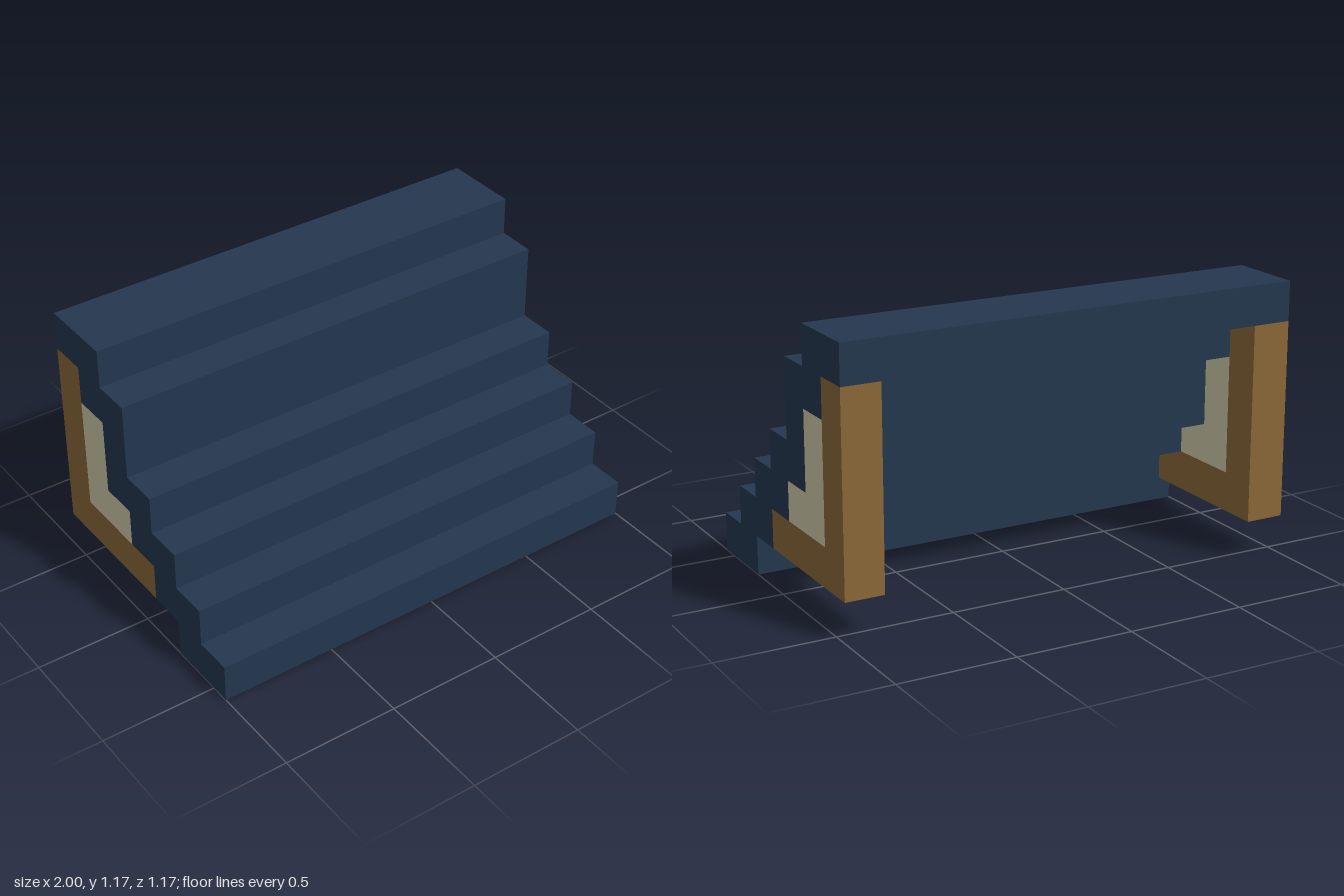
import * as THREE from 'three';

const U = 1 / 6; // grid unit: the roof is 12 wide, 7 high, 7 deep

// Extrude a side outline of [distance from front, height] points between two x positions
function slab(name, outline, x0, x1, material) {
  const shape = new THREE.Shape(outline.map(([d, y]) => new THREE.Vector2((d - 3.5) * U, y * U)));
  const geometry = new THREE.ExtrudeGeometry(shape, { depth: (x1 - x0) * U, bevelEnabled: false });
  geometry.rotateY(Math.PI / 2); // outline runs from front (+z) to back (-z)
  geometry.translate(x0 * U, 0, 0);
  const mesh = new THREE.Mesh(geometry, material);
  mesh.name = name;
  return mesh;
}

export function createModel() {
  const roofBlue = new THREE.MeshStandardMaterial({ color: 0x24374f });
  const timberBrown = new THREE.MeshStandardMaterial({ color: 0x8a6838 });
  const plasterCream = new THREE.MeshStandardMaterial({ color: 0xcfcba8 });
  roofBlue.name = 'roofBlue';
  timberBrown.name = 'timberBrown';
  plasterCream.name = 'plasterCream';

  const group = new THREE.Group();
  group.name = 'steppedRoof';

  // Stepped roof: underside from front to back, then the treads back down
  group.add(slab('roof', [
    [0, 0], [2, 0], [2, 1], [3, 1], [3, 2], [4, 2], [4, 3], [5, 3], [5, 5], [6, 5], [6, 6], [7, 6],
    [7, 7], [5, 7], [5, 6], [4, 6], [4, 4], [3, 4], [3, 3], [2, 3], [2, 2], [1, 2], [1, 1], [0, 1],
  ], -6, 6, roofBlue));

  // Gable walls, one unit thick, at both ends
  for (const [side, x] of [['left', 5], ['right', -6]]) {
    const gable = new THREE.Group();
    gable.name = side + 'Gable';
    // L-shaped timber: floor beam and back post
    gable.add(slab(side + 'TimberFrame',
      [[3, 1], [7, 1], [7, 6], [6, 6], [6, 2], [3, 2]], x, x + 1, timberBrown));
    // Plaster infill between timber and roof
    gable.add(slab(side + 'PlasterWall',
      [[4, 2], [6, 2], [6, 5], [5, 5], [5, 3], [4, 3]], x, x + 1, plasterCream));
    group.add(gable);
  }
  return group;
}
